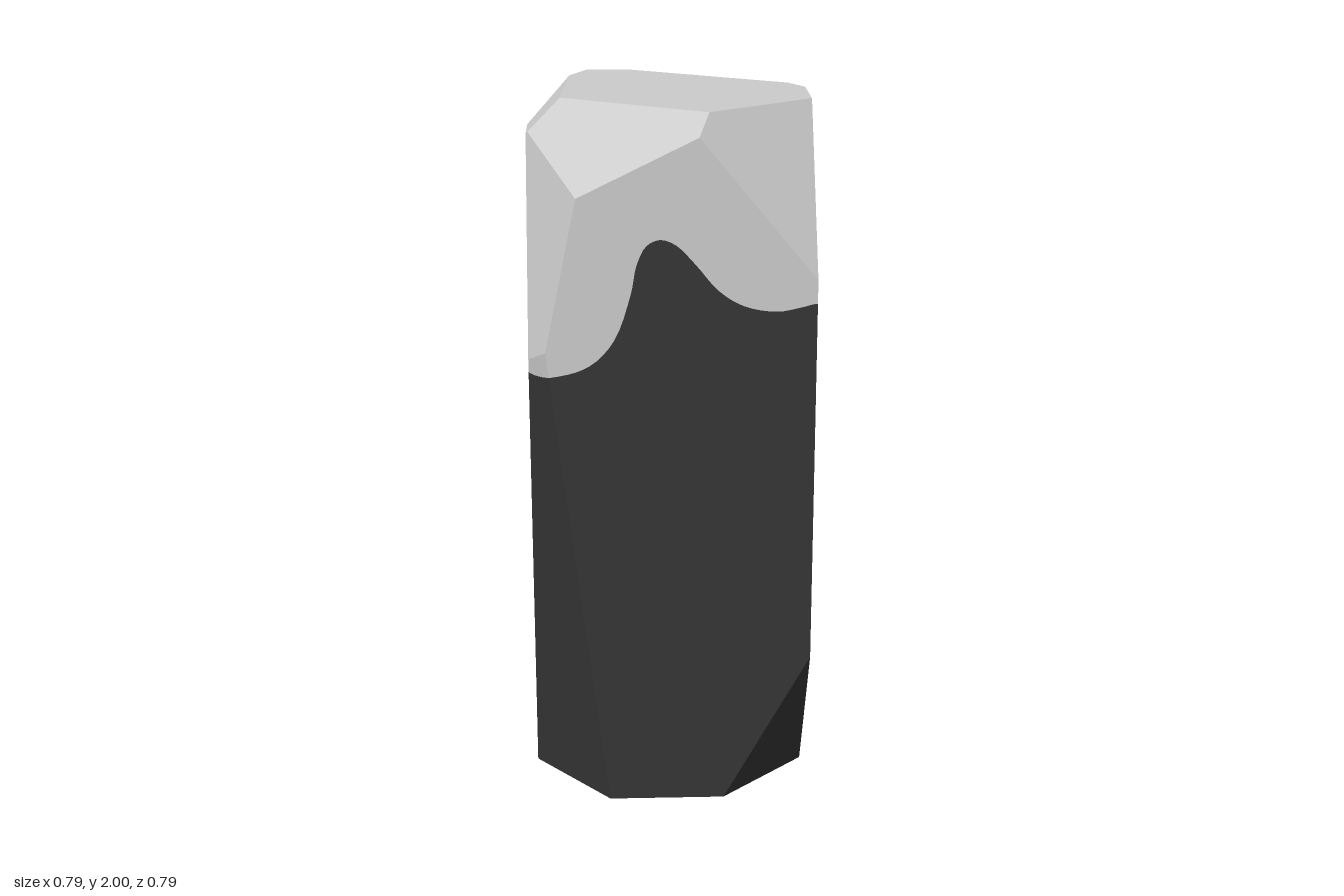
import * as THREE from 'three';

const V = (x, y, z) => new THREE.Vector3(x, y, z);
const W = 0.395, H = 2;
const core = V(0, 1, 0);

// Plane through three points, with its positive side holding the point "inside"
function planeThrough(a, b, c, inside) {
  const p = new THREE.Plane().setFromCoplanarPoints(a, b, c);
  return p.distanceToPoint(inside) < 0 ? p.negate() : p;
}

// Part of a convex polygon on the positive side of a plane
function clip(poly, plane) {
  const out = [];
  poly.forEach((a, i) => {
    const b = poly[(i + 1) % poly.length];
    const da = plane.distanceToPoint(a), db = plane.distanceToPoint(b);
    if (da >= 0) out.push(a);
    if ((da > 0 && db < 0) || (da < 0 && db > 0)) out.push(a.clone().lerp(b, da / (da - db)));
  });
  return out;
}

// Block walls, then the cuts that chip its corners and edges
function rockPlanes() {
  const walls = [
    new THREE.Plane(V(1, 0, 0), W), new THREE.Plane(V(-1, 0, 0), W),
    new THREE.Plane(V(0, 0, 1), W), new THREE.Plane(V(0, 0, -1), W),
    new THREE.Plane(V(0, 1, 0), 0), new THREE.Plane(V(0, -1, 0), H),
  ];
  const cuts = [
    [V(0.1, H, 0.34), V(-0.3, H, 0.095), V(-0.26, 1.78, W)],              // top front
    [V(0.1, H, 0.34), V(W, H, 0.13), V(W, 1.55, W)],                      // top front, +x corner
    [V(-0.26, 1.78, W), V(-W, 1.91, 0.14), V(-0.347, 1.353, W)],          // small front, -x corner
    [V(-0.347, 1.353, W), V(-0.18, 0, W), V(-W, 1.316, 0.33)],            // long front, -x corner
    [V(W, 0.44, W), V(0.15, 0, W), V(W, 0, 0.15)],                        // foot front
    [V(W, H, -0.065), V(0.195, 1.85, -W), V(W, 0, 0.005)],                // long back, +x corner
    [V(-0.1, H, -W), V(0.35, H, -0.138), V(0.195, 1.85, -W)],             // top back
    [V(-W, 0.908, -W), V(-0.225, H, -W), V(-W, 1.9, -0.075)],             // long back, -x corner
    [V(-0.3, H, 0.095), V(-W, 1.91, 0.14), V(-0.275, H, -0.29)],          // top, -x edge
    [V(-W, 0.523, -W), V(-0.15, 0, -W), V(-W, 0, -0.142)],                // foot back
  ];
  return walls.concat(cuts.map(([a, b, c]) => planeThrough(a, b, c, core)));
}

// One facet: a large square on its plane, trimmed by every other plane
function facet(plane, planes) {
  const n = plane.normal.clone().negate();
  const u = V(n.y, n.z, n.x).cross(n).normalize();
  const v = n.clone().cross(u);
  const c = plane.projectPoint(core, V());
  let poly = [[-5, -5], [5, -5], [5, 5], [-5, 5]]
    .map(([s, t]) => c.clone().addScaledVector(u, s).addScaledVector(v, t));
  for (const q of planes) if (q !== plane) poly = clip(poly, q);
  return { poly, n };
}

// Wavy lower edge of the pale cap, running once around the pillar
function capEdge() {
  const front = [[-0.31, 1.287], [-0.225, 1.316], [-0.16, 1.385], [-0.113, 1.517], [-0.097, 1.597],
    [-0.07, 1.65], [-0.033, 1.666], [0.01, 1.65], [0.062, 1.597], [0.126, 1.523], [0.195, 1.48],
    [0.285, 1.464], [0.35, 1.475], [W, 1.485]];
  const right = [[0.355, 1.477], [0.313, 1.475], [0.244, 1.507], [0.18, 1.56], [0.138, 1.607],
    [0.1, 1.676], [0.053, 1.74], [0, 1.788], [-0.053, 1.798]];
  const backCorner = [[0.374, 1.783, -0.095], [0.345, 1.745, -0.143], [0.3, 1.719, -0.217],
    [0.26, 1.729, -0.286], [0.222, 1.772, -0.35], [0.195, 1.777, -W]];
  const back = [[0.12, 1.781], [0.048, 1.76], [-0.037, 1.739], [-0.13, 1.737], [-0.237, 1.762]];
  const farCorner = [[-0.282, 1.756, -0.357], [-0.326, 1.748, -0.268], [-0.354, 1.771, -0.208],
    [-0.383, 1.815, -0.148]];
  const left = [[-0.11, 1.822], [-0.06, 1.817], [0, 1.782], [0.06, 1.695], [0.11, 1.536],
    [0.163, 1.42], [0.234, 1.336], [0.32, 1.28]];
  const pts = [
    ...front.map(([x, y]) => V(x, y, W)),
    ...right.map(([z, y]) => V(W, y, z)),
    ...backCorner.map((p) => V(...p)),
    ...back.map(([x, y]) => V(x, y, -W)),
    ...farCorner.map((p) => V(...p)),
    ...left.map(([z, y]) => V(-W, y, z)),
  ];
  return new THREE.CatmullRomCurve3(pts, true).getPoints(pts.length * 4);
}

function addPolygon(target, poly, n) {
  for (let i = 1; i < poly.length - 1; i++) {
    for (const p of [poly[0], poly[i], poly[i + 1]]) {
      target.pos.push(p.x, p.y, p.z);
      target.nor.push(n.x, n.y, n.z);
    }
  }
}

function makeMesh(name, data, material) {
  const g = new THREE.BufferGeometry();
  g.setAttribute('position', new THREE.Float32BufferAttribute(data.pos, 3));
  g.setAttribute('normal', new THREE.Float32BufferAttribute(data.nor, 3));
  const mesh = new THREE.Mesh(g, material);
  mesh.name = name;
  return mesh;
}

export function createModel() {
  const darkStone = new THREE.MeshStandardMaterial({ color: 0x363636 });
  darkStone.name = 'darkStone';
  const paleCap = new THREE.MeshStandardMaterial({ color: 0xcccccc });
  paleCap.name = 'paleCap';

  const planes = rockPlanes();
  const edge = capEdge();
  const stone = { pos: [], nor: [] }, cap = { pos: [], nor: [] };
  const base = V(0, 0, 0), top = V(0, H, 0);

  for (const plane of planes) {
    const { poly, n } = facet(plane, planes);
    // Flat top and bottom have a single colour
    if (Math.abs(n.y) > 0.999) {
      addPolygon(n.y > 0 ? cap : stone, poly, n);
      continue;
    }
    // Cut the facet into upright slices, and each slice along the cap's edge
    for (let i = 0; i < edge.length - 1; i++) {
      const a = edge[i], b = edge[i + 1];
      let slice = clip(poly, planeThrough(base, top, a, b));
      slice = clip(slice, planeThrough(base, top, b, a));
      if (slice.length < 3) continue;
      const outward = a.clone().add(b).setY(0);
      const above = planeThrough(a, b, a.clone().add(outward), V(0, 50, 0));
      addPolygon(cap, clip(slice, above), n);
      addPolygon(stone, clip(slice, above.clone().negate()), n);
    }
  }

  const group = new THREE.Group();
  group.name = 'rockPillar';
  group.add(makeMesh('stoneBody', stone, darkStone), makeMesh('paleTop', cap, paleCap));
  return group;
}
